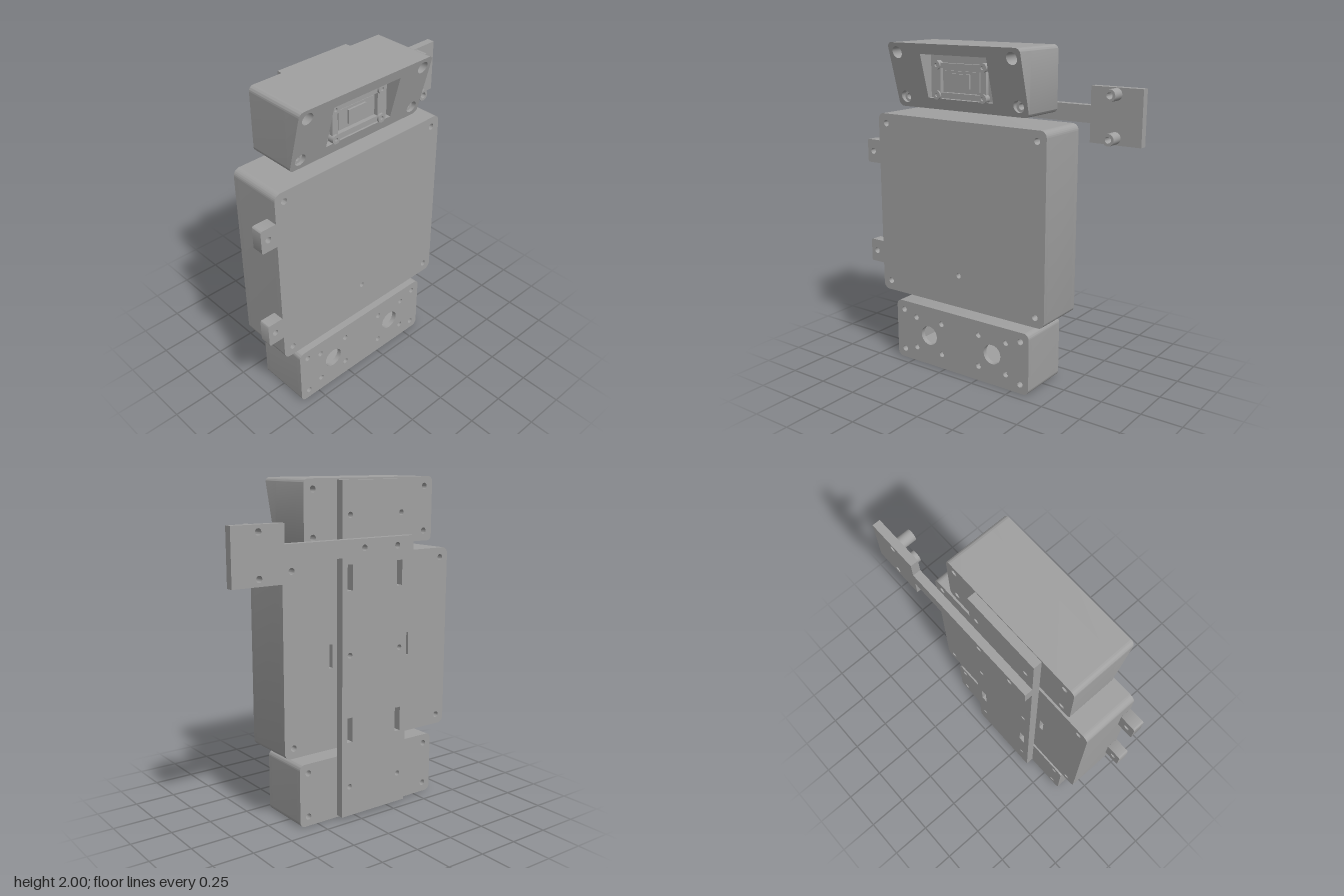
import * as THREE from 'three';
import { toCreasedNormals } from 'three/addons/utils/BufferGeometryUtils.js';

const grey = new THREE.MeshStandardMaterial({ color: 0xa0a0a0 });
grey.name = 'grey plastic';

// Rounded rectangle outline from its limits
function rect(x0, x1, y0, y1, r = 0, Type = THREE.Shape) {
  const p = new Type();
  if (r === 0) {
    p.moveTo(x0, y0).lineTo(x1, y0).lineTo(x1, y1).lineTo(x0, y1).closePath();
    return p;
  }
  p.absarc(x1 - r, y0 + r, r, -Math.PI / 2, 0);
  p.absarc(x1 - r, y1 - r, r, 0, Math.PI / 2);
  p.absarc(x0 + r, y1 - r, r, Math.PI / 2, Math.PI);
  p.absarc(x0 + r, y0 + r, r, Math.PI, Math.PI * 1.5);
  p.closePath();
  return p;
}
const slot = (x0, x1, y0, y1, r = 0) => rect(x0, x1, y0, y1, r, THREE.Path);
const hole = (x, y, r = 0.019) => new THREE.Path().absarc(x, y, r, 0, Math.PI * 2, true);
const grid = (xs, ys, r) => xs.flatMap((x) => ys.map((y) => hole(x, y, r)));

function extrude(shape, holes, z0, z1) {
  shape.holes.push(...holes);
  const g = new THREE.ExtrudeGeometry(shape, { depth: z1 - z0, bevelEnabled: false, curveSegments: 10 });
  g.translate(0, 0, z0);
  return g;
}

export function createModel() {
  const model = new THREE.Group();
  model.name = 'mountedEnclosures';
  const add = (name, geometry, parent = model) => {
    const m = new THREE.Mesh(toCreasedNormals(geometry, 0.6), grey);
    m.name = name;
    parent.add(m);
    return m;
  };
  const plate = (name, shape, holes, z0, z1, parent) => add(name, extrude(shape, holes, z0, z1), parent);

  // Hollow box: back wall, hollow frame and front wall, with through holes in the corners
  const BACK = -0.145, WALL = 0.03;
  function hollowBox(name, [x0, x1, y0, y1], r, front, inset, frontHoles, backHoles) {
    const group = new THREE.Group();
    group.name = name;
    model.add(group);
    const outline = () => rect(x0, x1, y0, y1, r);
    const corners = () => grid([x0 + inset, x1 - inset], [y0 + inset, y1 - inset]);
    const c = inset + 0.03;
    plate('backWall', outline(), [...corners(), ...backHoles], BACK, BACK + WALL, group);
    plate('sideWalls', outline(), [...corners(), slot(x0 + c, x1 - c, y0 + c, y1 - c)],
      BACK + WALL, front - WALL, group);
    plate('frontWall', outline(), [...corners(), ...frontHoles], front - WALL, front, group);
    return group;
  }

  // Large middle enclosure
  hollowBox('mainEnclosure', [-0.74, 0.47, 0.44, 1.57], 0.04, 0.19, 0.06,
    [hole(-0.135, 0.64, 0.016)],
    [-0.42, 0.15].map((x) => slot(x - 0.014, x + 0.014, 0.93, 1.07)));

  // Side tabs
  for (const y of [0.68, 1.327]) {
    plate('sideTab', rect(-0.84, -0.735, y - 0.072, y + 0.072, 0.012), [hole(-0.795, y)], 0.12, 0.19);
  }

  // Lower sensor enclosure with two round openings
  hollowBox('lowerEnclosure', [-0.635, 0.37, 0, 0.385], 0.035, 0.19, 0.058,
    [...grid([-0.375, 0.11], [0.195], 0.062), ...grid([-0.477, -0.275, 0.01, 0.21], [0.093, 0.295], 0.018)],
    grid([-0.32, 0.05], [0.197], 0.017));

  // Upper enclosure: straight body behind a sloping bezel
  const FLOOR = 0.13, UP = [-0.6, 0.328, 1.62, 2];
  const upper = new THREE.Group();
  upper.name = 'upperEnclosure';
  model.add(upper);
  const xs = [-0.538, 0.268], ys = [1.68, 1.943];
  plate('upperBody', rect(...UP, 0.03), grid(xs, ys), BACK, FLOOR, upper);
  const bezel = extrude(rect(...UP, 0.03), [...grid(xs, ys, 0.035), slot(-0.366, 0.1, 1.685, 1.94)], 0, 1);
  const pos = bezel.attributes.position;
  for (let i = 0; i < pos.count; i++) {
    const front = 0.143 + (pos.getY(i) - 1.62) * 0.268;
    pos.setZ(i, FLOOR + pos.getZ(i) * (front - FLOOR));
  }
  bezel.computeVertexNormals();
  add('slopingBezel', bezel, upper);

  // Framed module inside the recess
  const module = new THREE.Group();
  module.name = 'recessedModule';
  model.add(module);
  plate('moduleFrame', rect(-0.315, 0.045, 1.69, 1.89, 0.02), [slot(-0.278, 0.008, 1.722, 1.86)],
    FLOOR, 0.155, module);
  plate('moduleBoard', rect(-0.26, -0.01, 1.735, 1.847), [], FLOOR, 0.14, module);
  plate('moduleCentre', rect(-0.197, -0.073, 1.75, 1.832), [], FLOOR, 0.152, module);
  for (const x of [-0.3, 0.03]) {
    for (const y of [1.705, 1.877]) {
      plate('moduleScrew', new THREE.Shape().absarc(x, y, 0.026, 0, Math.PI * 2), [hole(x, y, 0.011)],
        FLOOR, 0.168, module);
    }
  }

  // Long back plate with screw holes and strap slots
  const strapSlots = [-0.314, 0.05].flatMap((x) =>
    [0.55, 1.45].map((y) => slot(x - 0.02, x + 0.02, y - 0.075, y + 0.075)));
  plate('backPlate', rect(-0.375, 0.105, 0.013, 1.99),
    [...grid([-0.32, 0.05], [0.197, 1, 1.8], 0.017), ...grid([-0.255, -0.015], [1.618], 0.019), ...strapSlots],
    -0.195, BACK);

  // Side arm ending in a square bracket
  const arm = new THREE.Shape([
    [-0.375, 1.57], [0.515, 1.57], [0.515, 1.46], [0.835, 1.46],
    [0.835, 1.78], [0.515, 1.78], [0.515, 1.67], [-0.375, 1.67],
  ].map(([x, y]) => new THREE.Vector2(x, y)));
  plate('sideArm', arm, [...grid([-0.255, -0.015], [1.618], 0.019), ...grid([0.673], [1.5, 1.742], 0.019)],
    -0.243, -0.195);

  // Tubular standoffs on the bracket
  for (const y of [1.5, 1.742]) {
    plate('standoff', new THREE.Shape().absarc(0.673, y, 0.035, 0, Math.PI * 2), [hole(0.673, y)], -0.195, -0.113);
  }

  return model;
}
